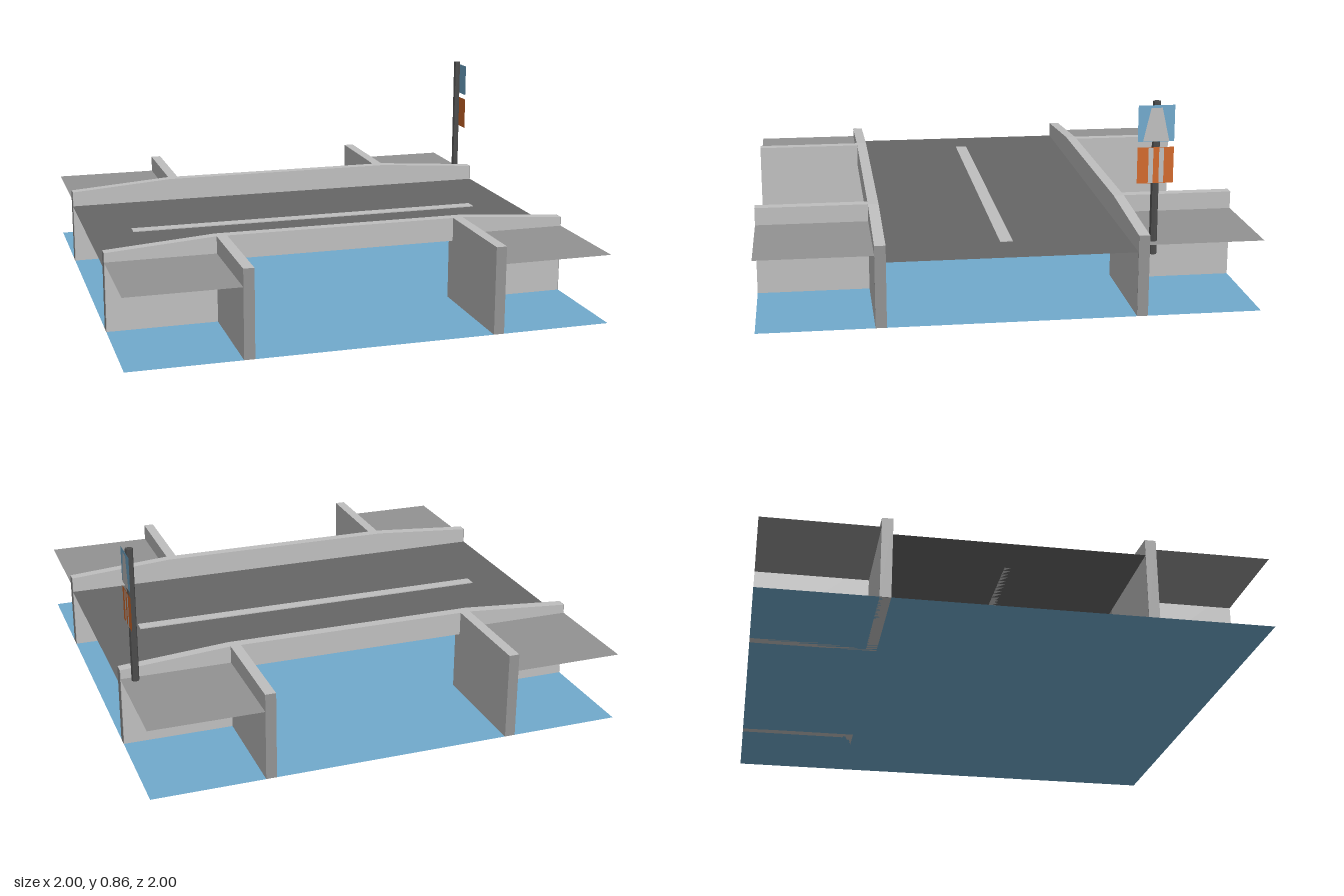
import * as THREE from 'three';

const mat = (name, color, side = THREE.FrontSide) => {
  const m = new THREE.MeshStandardMaterial({ color, side });
  m.name = name;
  return m;
};

export function createModel() {
  const group = new THREE.Group();
  const both = THREE.DoubleSide;
  const concrete = mat('light concrete', 0xbfbfbf, both);
  const paving = mat('mid grey paving', 0x939393, both);
  const asphalt = mat('dark asphalt', 0x666666, both);
  const water = mat('water blue', 0x71aacd, both);
  const steel = mat('dark steel', 0x4c4c4c);
  const orange = mat('sign orange', 0xd2692a, both);

  const add = (name, geometry, material, x = 0, y = 0, z = 0, parent = group) => {
    const mesh = new THREE.Mesh(geometry, material);
    mesh.name = name;
    mesh.position.set(x, y, z);
    parent.add(mesh);
    return mesh;
  };
  const flat = (w, d) => new THREE.PlaneGeometry(w, d).rotateX(-Math.PI / 2);

  // Heights and wall band shared by the parts
  const ROAD = 0.265, GROUND = 0.293, TOP = 0.366, LOW = 0.332;
  const IN = 0.494, OUT = 0.538, T = OUT - IN;

  // Horizontal surfaces
  add('water', flat(2, 2), water);
  add('roadDeck', flat(2, 2 * IN), asphalt, 0, ROAD, 0);
  add('centreLine', new THREE.BoxGeometry(1.6, 0.004, 0.052), concrete, 0, ROAD + 0.002, 0);

  // Bridge side: abutments and parapet in one outline, ramping down to the ends
  const END = 0.998;
  const outline = new THREE.Shape([
    [-END, 0], [-IN, 0], [-IN, ROAD], [IN, ROAD], [IN, 0], [END, 0],
    [END, LOW], [OUT, TOP], [-OUT, TOP], [-END, LOW],
  ].map(([x, y]) => new THREE.Vector2(x, y)));
  const sideGeometry = new THREE.ExtrudeGeometry(outline, { depth: T, bevelEnabled: false })
    .translate(0, 0, -T / 2);

  // Bank walls have grey faces on their ends
  const wallLength = 1 - OUT;
  const bankWall = new THREE.BoxGeometry(T, TOP, wallLength);
  const bankMaterials = [concrete, concrete, concrete, concrete, paving, paving];

  const mid = (IN + OUT) / 2;
  const far = (1 + OUT) / 2;
  for (const sz of [1, -1]) {
    add('bridgeSide', sideGeometry, concrete, 0, 0, sz * mid);
    for (const sx of [1, -1]) {
      add('bridgeSideEnd', new THREE.BoxGeometry(0.002, LOW, T), paving, sx * 0.999, LOW / 2, sz * mid);
      add('bankWall', bankWall, bankMaterials, sx * mid, TOP / 2, sz * far);
      add('bankGround', flat(wallLength, wallLength), paving, sx * far, GROUND, sz * far);
    }
  }

  // Roadside sign post with two panels facing +x
  const sign = new THREE.Group();
  sign.name = 'signPost';
  sign.position.set(0.943, 0, -0.563);
  group.add(sign);
  steel.flatShading = true;
  add('pole', new THREE.CylinderGeometry(0.016, 0.016, 0.615, 8), steel, 0, 0.5475, 0, sign);

  const panel = (w, h) => new THREE.PlaneGeometry(w, h).rotateY(Math.PI / 2);
  add('upperPanel', panel(0.144, 0.144), water, 0.017, 0.77, 0.004, sign);
  add('lowerPanel', panel(0.144, 0.144), orange, 0.017, 0.604, 0.004, sign);

  // Panel markings
  const taper = new THREE.Shape([
    [-0.052, -0.07], [0.052, -0.07], [0.022, 0.062], [-0.022, 0.062],
  ].map(([x, y]) => new THREE.Vector2(x, y)));
  const marking = concrete.clone();
  marking.side = THREE.FrontSide;
  marking.name = 'sign marking';
  add('taperMark', new THREE.ShapeGeometry(taper).rotateY(Math.PI / 2), marking, 0.0195, 0.77, 0.004, sign);
  for (const s of [1, -1]) {
    add('stripeMark', panel(0.019, 0.14), marking, 0.0195, 0.604, 0.002 + s * 0.021, sign);
  }

  return group;
}
